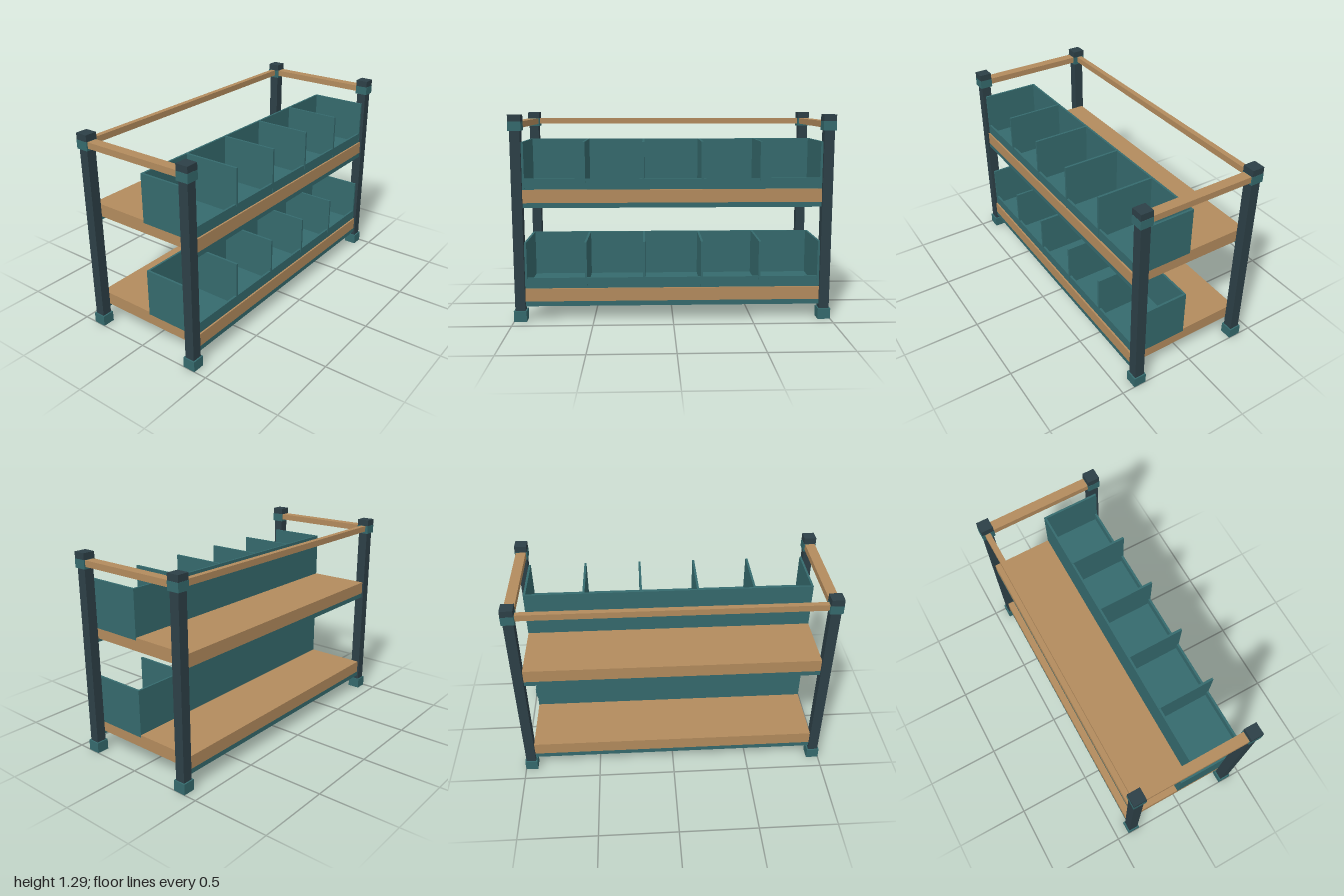
import * as THREE from 'three';

const material = (name, color) => {
  const m = new THREE.MeshStandardMaterial({ color });
  m.name = name;
  return m;
};

export function createModel() {
  const charcoal = material('charcoal', 0x2d4047);
  const teal = material('teal', 0x356a6d);
  const wood = material('wood', 0xb38b5d);
  const root = new THREE.Group();
  root.name = 'storageRack';

  // Box given by its extents along each axis
  const box = (parent, name, mat, [x0, x1], [y0, y1], [z0, z1]) => {
    const mesh = new THREE.Mesh(new THREE.BoxGeometry(x1 - x0, y1 - y0, z1 - z0), mat);
    mesh.position.set((x0 + x1) / 2, (y0 + y1) / 2, (z0 + z1) / 2);
    mesh.name = name;
    parent.add(mesh);
  };
  const around = (c, half) => [c - half, c + half];

  // Corner posts with foot, collar and cap
  for (const sx of [-1, 1]) {
    for (const sz of [-1, 1]) {
      const corner = new THREE.Group();
      corner.name = 'cornerPost';
      const x = sx * 0.96, z = sz * 0.376;
      box(corner, 'foot', teal, around(x, 0.04), [0, 0.068], around(z, 0.041));
      box(corner, 'post', charcoal, around(x, 0.0315), [0.068, 1.195], around(z, 0.0315));
      box(corner, 'collar', teal, around(x, 0.04), [1.195, 1.25], around(z, 0.041));
      box(corner, 'cap', charcoal, around(x, 0.039), [1.25, 1.291], around(z, 0.04));
      root.add(corner);
    }
    box(root, 'sideRail', wood, around(sx * 0.96, 0.032), [1.21, 1.249], [-0.345, 0.345]);
  }
  box(root, 'backRail', wood, [-0.925, 0.925], [1.21, 1.249], [-0.398, -0.363]);

  // Two identical levels: shelf, support beams and a row of five bins
  for (const base of [0.095, 0.72]) {
    const level = new THREE.Group();
    level.name = 'shelfLevel';
    level.position.y = base;
    root.add(level);

    box(level, 'shelf', wood, [-0.927, 0.927], [0.031, 0.113], [-0.397, 0.397]);
    for (const s of [-1, 1]) {
      box(level, 'supportBeam', teal, [-0.927, 0.927], [0, 0.031], around(s * 0.38, 0.017));
    }

    const bins = new THREE.Group();
    bins.name = 'binRow';
    level.add(bins);
    box(bins, 'binFloor', teal, [-0.915, 0.915], [0.097, 0.118], [0.02, 0.372]);
    box(bins, 'binBack', teal, [-0.915, 0.915], [0.097, 0.405], [0.007, 0.02]);
    box(bins, 'binLip', teal, [-0.915, 0.915], [0.097, 0.18], [0.372, 0.386]);
    for (const s of [-1, 1]) {
      box(bins, 'binEnd', teal, around(s * 0.9215, 0.007), [0.097, 0.405], [0.007, 0.387]);
    }
    for (let i = 0; i < 4; i++) {
      const x = (i - 1.5) * 0.365;
      box(bins, 'binDivider', teal, around(x, 0.007), [0.1, 0.4055], [0.01, 0.3875]);
    }
  }
  return root;
}
